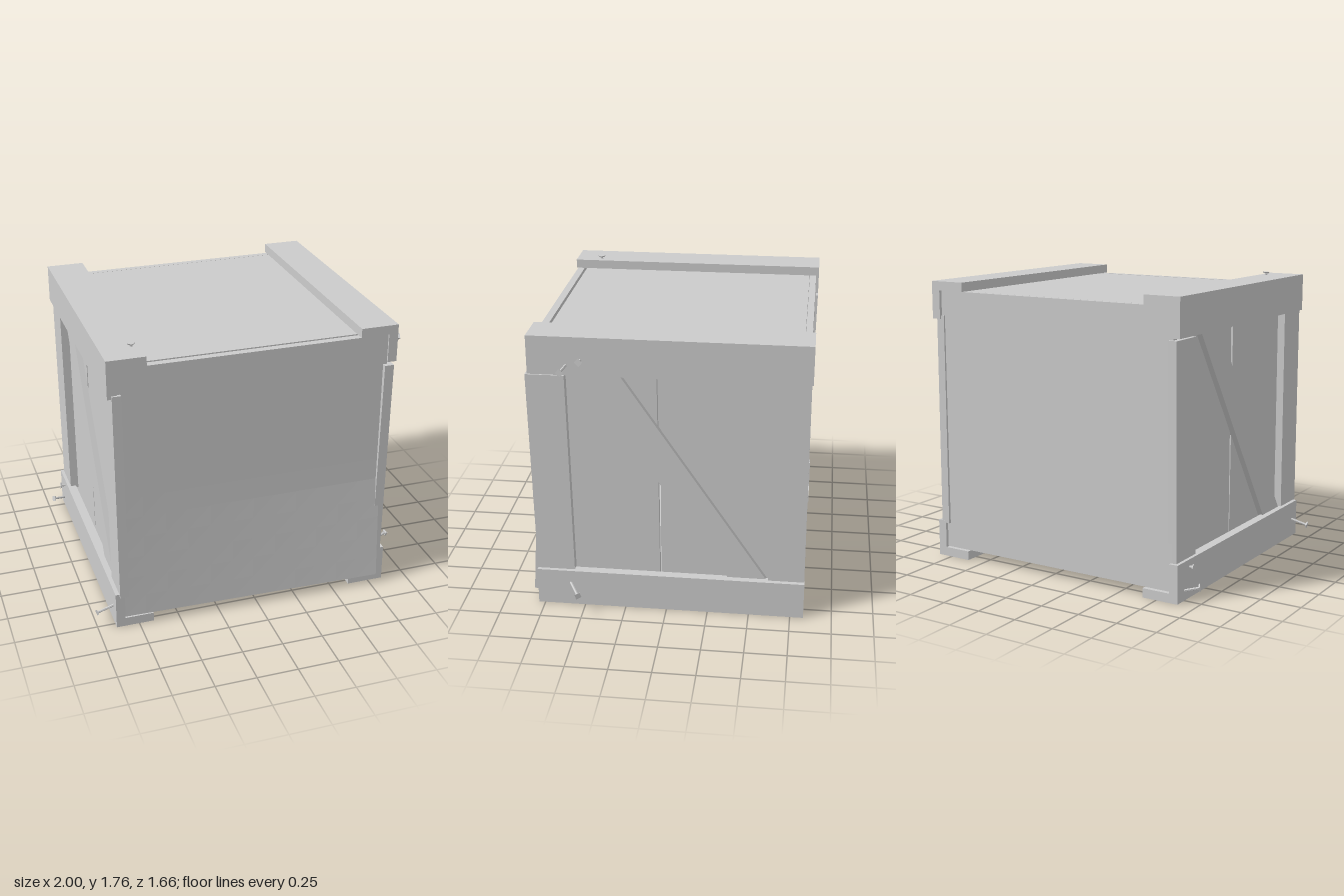
import * as THREE from 'three';

const material = new THREE.MeshStandardMaterial({ color: 0xcccccc, flatShading: true });

function add(parent, name, geometry) {
  const mesh = new THREE.Mesh(geometry, material);
  mesh.name = name;
  parent.add(mesh);
  return mesh;
}

// Box given by its lowest and highest corners
function block(parent, name, [x0, y0, z0], [x1, y1, z1], segments = 1) {
  const geo = new THREE.BoxGeometry(x1 - x0, y1 - y0, z1 - z0, segments, segments, 1);
  geo.translate((x0 + x1) / 2, (y0 + y1) / 2, (z0 + z1) / 2);
  return add(parent, name, geo);
}

// Timber whose outline is drawn in the side plane as [z, y] corners
function sideTimber(parent, name, corners, x0, x1) {
  const shape = new THREE.Shape(corners.map(([z, y]) => new THREE.Vector2(-z, y)));
  const geo = new THREE.ExtrudeGeometry(shape, { depth: x1 - x0, bevelEnabled: false });
  geo.rotateY(Math.PI / 2);
  geo.translate(x0, 0, 0);
  return add(parent, name, geo);
}

// L-shaped rail running front to back along one edge; sx, sy point outward
function edgeRail(parent, name, x, y, sx, sy) {
  const w = 0.23, t = 0.056;
  const corners = [[0, 0], [w, 0], [w, t], [t, t], [t, w], [0, w]];
  const shape = new THREE.Shape(corners.map(([a, b]) => new THREE.Vector2(x - sx * a, y - sy * b)));
  const geo = new THREE.ExtrudeGeometry(shape, { depth: 1.62, bevelEnabled: false });
  geo.translate(0, 0, -0.83);
  add(parent, name, geo);
}

// Half-driven nail from its base to the top of its square head
function nail(parent, base, tip) {
  const a = new THREE.Vector3(...base), b = new THREE.Vector3(...tip);
  const dir = b.clone().sub(a).normalize();
  const group = new THREE.Group();
  group.name = 'nail';
  const length = a.distanceTo(b) + 0.03;
  const shank = new THREE.CylinderGeometry(0.008, 0.008, length, 6);
  shank.translate(0, -length / 2, 0);
  add(group, 'nailShank', shank);
  const head = new THREE.CylinderGeometry(0.024, 0.018, 0.009, 4);
  head.translate(0, -0.0045, 0);
  add(group, 'nailHead', head);
  group.position.copy(b);
  group.quaternion.setFromUnitVectors(new THREE.Vector3(0, 1, 0), dir);
  parent.add(group);
}

// Braced side wall, built for the +x side
function sideWall(name) {
  const wall = new THREE.Group();
  wall.name = name;
  sideTimber(wall, 'frontPlank', [[0.74, 0.08], [0.045, 0.08], [0.06, 1.66], [0.74, 1.66]], 0.73, 0.77);
  sideTimber(wall, 'backPlank', [[0.04, 0.08], [-0.77, 0.08], [-0.77, 1.66], [0.033, 1.66]], 0.73, 0.77);
  sideTimber(wall, 'frontUpright', [[0.79, 0.215], [0.563, 0.215], [0.583, 1.497], [0.81, 1.497]], 0.765, 0.822);
  sideTimber(wall, 'backUpright', [[-0.613, 0.215], [-0.828, 0.215], [-0.822, 1.53], [-0.598, 1.53]], 0.765, 0.818);
  sideTimber(wall, 'diagonalBrace', [[0.51, 1.53], [-0.38, 0.21], [-0.61, 0.21], [0.283, 1.53]], 0.765, 0.805);
  return wall;
}

export function createModel() {
  const crate = new THREE.Group();
  crate.name = 'crate';

  // Corner rails
  edgeRail(crate, 'topLeftRail', 0.845, 1.74, 1, 1);
  edgeRail(crate, 'topRightRail', -0.89, 1.74, -1, 1);
  edgeRail(crate, 'bottomLeftRail', 0.845, 0, 1, -1);
  edgeRail(crate, 'bottomRightRail', -0.89, 0, -1, -1);

  // Flat panels
  block(crate, 'topPanel', [-0.82, 1.64, -0.77], [0.775, 1.682, 0.722]);
  block(crate, 'bottomPanel', [-0.82, 0.06, -0.77], [0.775, 0.1, 0.73]);
  block(crate, 'backPanel', [-0.84, 0.06, -0.812], [0.788, 1.682, -0.772]);

  // Front panel, its lower corner warped outward
  const front = block(crate, 'frontPanel', [-0.84, 0.06, 0.738], [0.788, 1.682, 0.782], 12);
  const pos = front.geometry.attributes.position;
  for (let i = 0; i < pos.count; i++) {
    const across = (pos.getX(i) + 0.84) / 1.63;
    const down = Math.max(0, (0.75 - pos.getY(i)) / 0.69);
    pos.setZ(i, pos.getZ(i) + 0.045 * across * down);
  }
  front.geometry.computeVertexNormals();

  // Side walls, the second turned half a revolution
  crate.add(sideWall('leftWall'));
  const right = sideWall('rightWall');
  right.rotation.y = Math.PI;
  right.position.set(-0.048, 0, -0.02);
  crate.add(right);

  // Loose nails
  const nails = [
    [[0.845, 1.605, 0.48], [0.893, 1.608, 0.482]],
    [[0.845, 1.57, 0.565], [0.96, 1.568, 0.578]],
    [[0.845, 0.147, 0.585], [0.99, 0.147, 0.515]],
    [[-0.89, 0.185, -0.69], [-0.922, 0.187, -0.692]],
    [[-0.89, 0.06, -0.745], [-0.972, 0.08, -0.71]],
    [[-0.89, 0.115, 0.72], [-0.998, 0.088, 0.73]],
    [[-0.705, 1.74, 0.625], [-0.705, 1.76, 0.626]],
  ];
  for (const [base, tip] of nails) nail(crate, base, tip);

  return crate;
}
